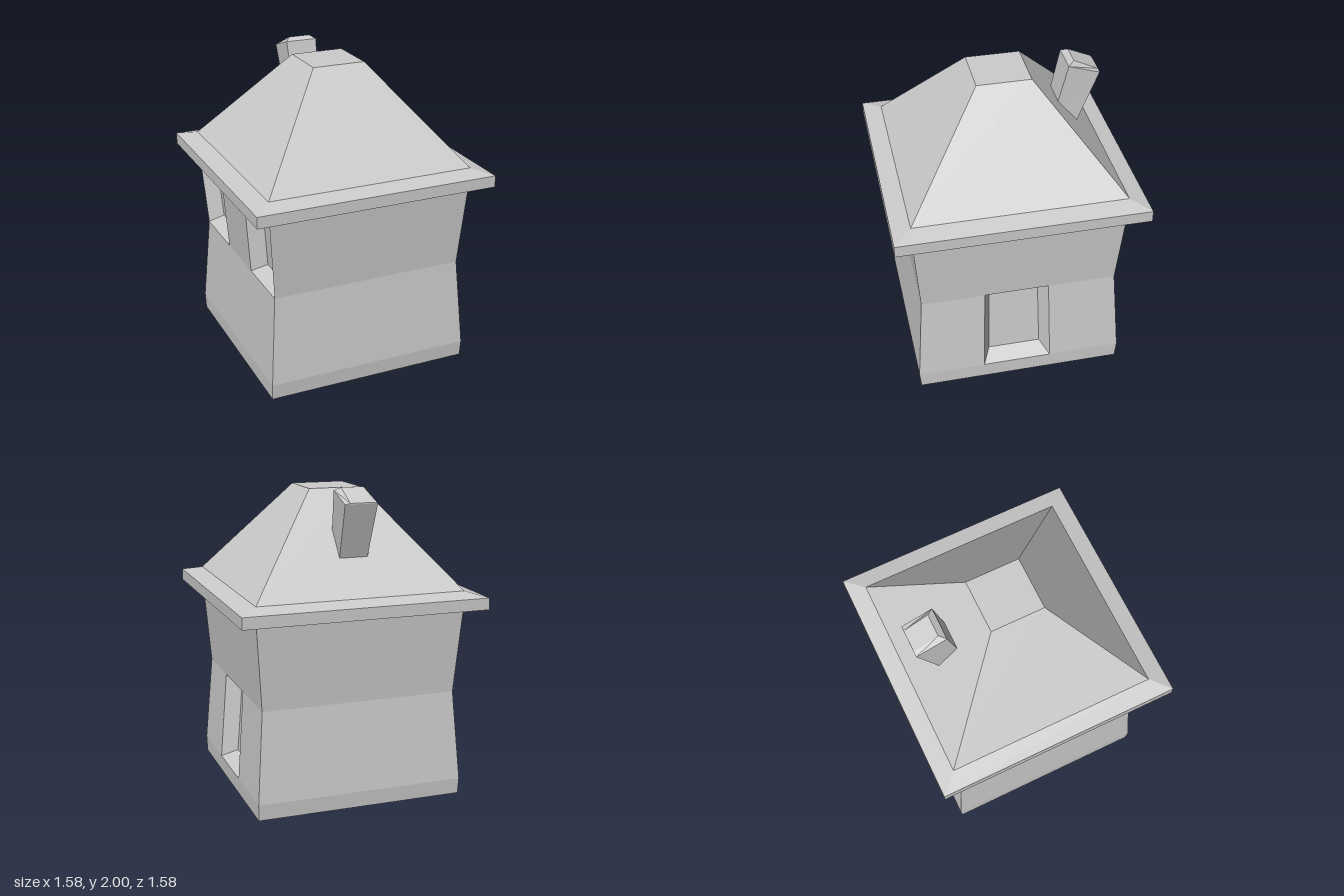
import * as THREE from 'three';

const material = new THREE.MeshStandardMaterial({ color: 0xcccccc, flatShading: true });
const v = (x, y, z) => new THREE.Vector3(x, y, z);

// Mesh from four-cornered faces, corners counter-clockwise seen from outside
function meshFromQuads(name, quads) {
  const points = quads.flatMap(([a, b, c, d]) => [a, b, c, a, c, d]);
  const geometry = new THREE.BufferGeometry().setFromPoints(points);
  geometry.computeVertexNormals();
  const mesh = new THREE.Mesh(geometry, material);
  mesh.name = name;
  return mesh;
}

// Ring order: front left, front right, back right, back left
const ring = (y, hx, hz = hx) => [v(-hx, y, hz), v(hx, y, hz), v(hx, y, -hz), v(-hx, y, -hz)];

// Closed skin over a stack of four-cornered rings, lowest first
function loft(rings) {
  const quads = [];
  for (let r = 0; r < rings.length - 1; r++) {
    const lo = rings[r], hi = rings[r + 1];
    for (let i = 0; i < 4; i++) {
      const j = (i + 1) % 4;
      quads.push([lo[i], lo[j], hi[j], hi[i]]);
    }
  }
  quads.push([...rings[0]].reverse(), rings[rings.length - 1]);
  return quads;
}

// Sunken panel: four sloping reveals and a back face
function recess(cell, inward, margin = 0.05, depth = 0.1) {
  const inner = cell.map((p, i) => {
    const q = p.clone().addScaledVector(inward, depth);
    for (const n of [cell[(i + 1) % 4], cell[(i + 3) % 4]]) {
      q.addScaledVector(n.clone().sub(p).normalize(), margin);
    }
    return q;
  });
  const quads = [inner];
  for (let i = 0; i < 4; i++) {
    const j = (i + 1) % 4;
    quads.push([cell[i], cell[j], inner[j], inner[i]]);
  }
  return quads;
}

// Pinched walls, each divided into three columns; chosen cells become openings
function buildWalls(group) {
  const rings = [ring(0, 0.675, 0.667), ring(0.105, 0.677), ring(0.688, 0.634), ring(1.25, 0.675)];
  const openings = { '1,1,1': 'doorway', '3,2,0': 'backWindow', '3,2,2': 'frontWindow' };
  const walls = [[...rings[0]].reverse()];
  for (let side = 0; side < 4; side++) {
    const next = (side + 1) % 4;
    const inward = v(0, 0, -1).applyAxisAngle(v(0, 1, 0), side * Math.PI / 2);
    const cuts = side === 3 ? [0, 0.342, 0.673, 1] : [0, 0.323, 0.653, 1];
    const at = (row, col) => rings[row][side].clone().lerp(rings[row][next], cuts[col]);
    for (let row = 0; row < 3; row++) {
      for (let col = 0; col < 3; col++) {
        const cell = [at(row, col), at(row, col + 1), at(row + 1, col + 1), at(row + 1, col)];
        const opening = openings[[side, row, col].join()];
        if (opening) group.add(meshFromQuads(opening, recess(cell, inward)));
        else walls.push(cell);
      }
    }
  }
  group.add(meshFromQuads('walls', walls));
}

export function createModel() {
  const house = new THREE.Group();
  house.name = 'house';
  buildWalls(house);

  // Eave slab with a shallow lip, and the steep flat-topped roof
  house.add(meshFromQuads('eaves', loft([ring(1.245, 0.792), ring(1.32, 0.792), ring(1.35, 0.675)])));
  house.add(meshFromQuads('roof', loft([ring(1.35, 0.675), ring(1.965, 0.173)])));

  // Leaning chimney, widening upward, with a bevelled cap
  const slant = (hx, zf, yf, zb, yb) => [v(-hx, yf, zf), v(hx, yf, zf), v(hx, yb, zb), v(-hx, yb, zb)];
  const chimney = meshFromQuads('chimney', loft([
    slant(0.09, -0.347, 1.65, -0.475, 1.52),
    slant(0.105, -0.422, 1.98, -0.622, 1.915),
    slant(0.072, -0.462, 2.0, -0.622, 1.922),
  ]));
  chimney.position.x = -0.004;
  house.add(chimney);
  return house;
}
